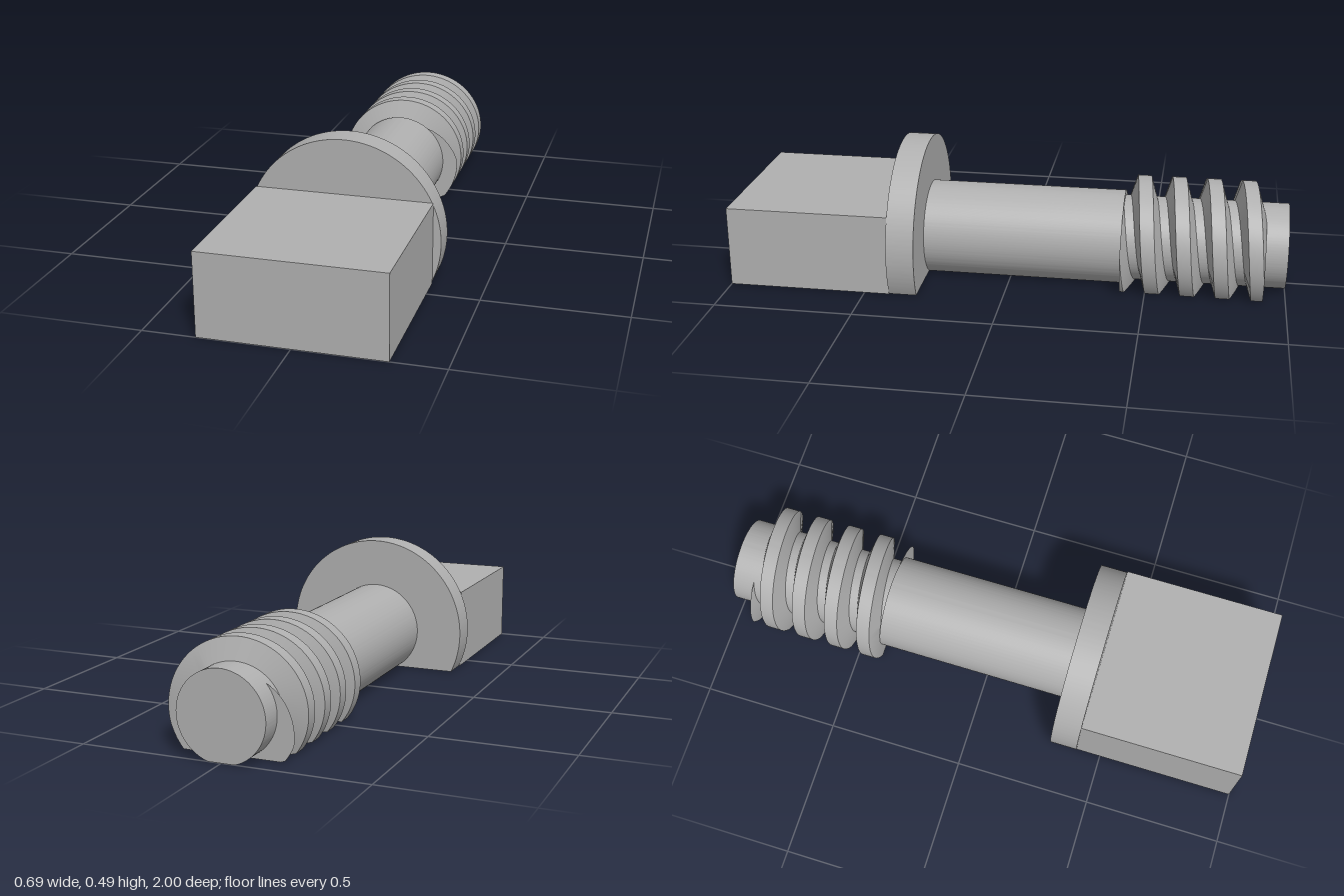
import * as THREE from 'three';
import { toCreasedNormals } from 'three/addons/utils/BufferGeometryUtils.js';

const AXIS_Y = 0.148; // height of the screw axis above the flat underside

export function createModel() {
  const group = new THREE.Group();
  const grey = new THREE.MeshStandardMaterial({ name: 'grey', color: 0xb0b0b0 });

  const add = (name, geometry) => {
    const mesh = new THREE.Mesh(geometry, grey);
    mesh.name = name;
    group.add(mesh);
  };

  // Round bar along z with a flat cut at y = 0
  const flatBar = (name, radius, zBack, zFront) => {
    const cut = Math.asin(AXIS_Y / radius);
    const shape = new THREE.Shape();
    shape.absarc(0, AXIS_Y, radius, -cut, Math.PI + cut, false);
    shape.closePath();
    const geometry = new THREE.ExtrudeGeometry(shape, {
      depth: zFront - zBack, bevelEnabled: false, curveSegments: 96,
    });
    geometry.translate(0, 0, zBack);
    add(name, toCreasedNormals(geometry, 0.4));
  };

  // Rectangular head
  const head = new THREE.BoxGeometry(0.632, 0.295, 0.59);
  head.translate(0, 0.1475, 0.705);
  add('head', head);

  flatBar('flange', 0.345, 0.31, 0.41);
  flatBar('shank', 0.172, -0.41, 0.31);
  flatBar('threadCore', 0.155, -1, -0.41);
  add('thread', threadGeometry());
  return group;
}

// Helical trapezoid ridge, trimmed by two end planes and the flat underside
function threadGeometry() {
  const crest = 0.23, root = 0.152, crestHalf = 0.025, rootHalf = 0.048;
  const pitch = 0.126, zMin = -0.92, zMax = -0.41;
  const start = -4, end = 26.5, steps = 480;
  const clamp = THREE.MathUtils.clamp;
  const slope = (crest - root) / (rootHalf - crestHalf);

  const section = (angle) => {
    const s = Math.sin(angle);
    const limit = s < 0 ? -AXIS_Y / s : Infinity;
    const top = Math.min(crest, limit), low = Math.min(root, limit);
    const topHalf = crestHalf + (crest - Math.max(top, root)) / slope;
    const centre = -0.89 + pitch * angle / (2 * Math.PI);
    const ridge = [-rootHalf, -topHalf, topHalf, rootHalf].map((d) => {
      const z = clamp(centre + d, zMin, zMax);
      const r = crest - (Math.abs(z - centre) - crestHalf) * slope;
      return [clamp(r, low, top), z];
    });
    // End walls go down into the core
    const outline = [[low, ridge[0][1]], ...ridge, [low, ridge[3][1]]];
    return outline.map(([r, z]) =>
      new THREE.Vector3(r * Math.cos(angle), AXIS_Y + r * s, z));
  };

  const positions = [];
  const triangle = (a, b, c) => {
    const area = new THREE.Vector3().subVectors(b, a)
      .cross(new THREE.Vector3().subVectors(c, a)).length();
    if (area > 1e-9) for (const p of [a, b, c]) positions.push(p.x, p.y, p.z);
  };
  let previous = section(start);
  for (let i = 1; i <= steps; i++) {
    const next = section(start + (end - start) * i / steps);
    for (let j = 0; j < 5; j++) {
      triangle(previous[j], next[j], next[j + 1]);
      triangle(previous[j], next[j + 1], previous[j + 1]);
    }
    previous = next;
  }
  const geometry = new THREE.BufferGeometry();
  geometry.setAttribute('position', new THREE.Float32BufferAttribute(positions, 3));
  return toCreasedNormals(geometry, 0.4);
}
